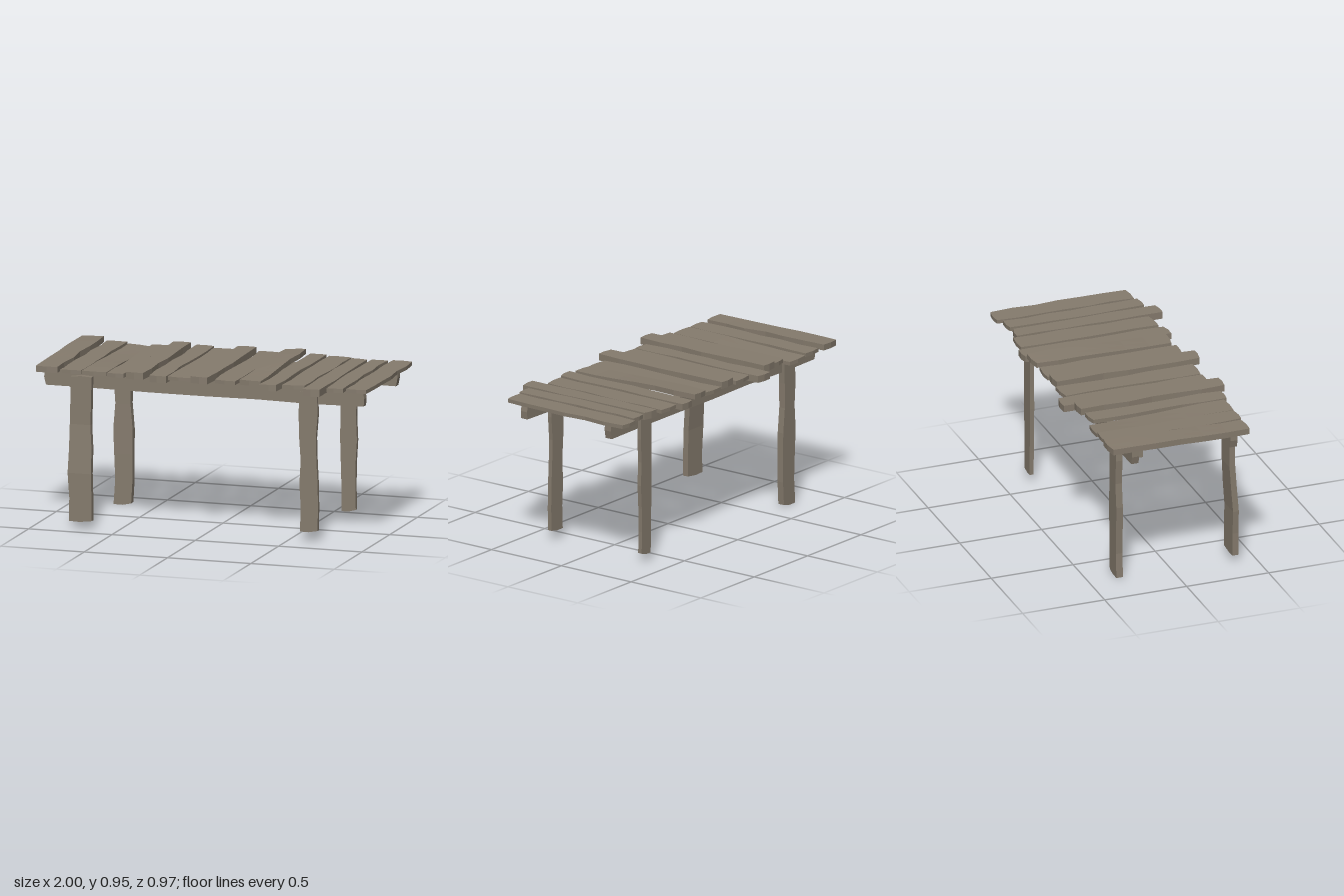
import * as THREE from 'three';

const wood = new THREE.MeshStandardMaterial({ color: 0x857b6d, flatShading: true });
wood.name = 'weatheredWood';

// Small seeded generator, returns values in -1..1
function seeded(seed) {
  let s = seed * 7919 + 17;
  return () => {
    s = (s * 16807) % 2147483647;
    return (s / 2147483647) * 2 - 1;
  };
}

// Rough-sawn board lying along z: wavy long edges, uneven ends, optional bend(t) in thickness
function board(name, width, thick, length, seed, wave = 0.008, bend = () => 0) {
  const rnd = seeded(seed);
  for (let i = 0; i < 5; i++) rnd();
  const SEG = 6;
  const edges = [0, 1].map(() => Array.from({ length: SEG + 1 }, () => rnd() * wave));
  const skew = [rnd() * 0.007, rnd() * 0.007];
  const geo = new THREE.BoxGeometry(width, thick, length, 2, 1, SEG);
  const p = geo.attributes.position;
  for (let i = 0; i < p.count; i++) {
    const x = p.getX(i), y = p.getY(i), z = p.getZ(i);
    const t = z / length + 0.5;
    const k = Math.round(t * SEG);
    const u = x / (width / 2);
    if (Math.abs(u) > 0.5) p.setX(i, x + edges[u > 0 ? 1 : 0][k] - Math.sign(u) * wave * 0.5);
    p.setY(i, y + bend(t, u));
    if (k === 0) p.setZ(i, z + skew[0] * u + 0.006 * Math.abs(u));
    if (k === SEG) p.setZ(i, z + skew[1] * u - 0.006 * Math.abs(u));
  }
  geo.computeVertexNormals();
  const mesh = new THREE.Mesh(geo, wood);
  mesh.name = name;
  return mesh;
}

export function createModel() {
  const model = new THREE.Group();
  model.name = 'plankTable';

  // Table top: x from, x to, z from, z to, bottom, top, lift of the back end
  const planks = [
    [-1.0, -0.86, -0.455, 0.39, 0.895, 0.93, 0.012],
    [-0.845, -0.72, -0.44, 0.4, 0.9, 0.922, 0],
    [-0.715, -0.57, -0.44, 0.4, 0.9, 0.922, -0.018],
    [-0.56, -0.45, -0.41, 0.42, 0.9, 0.924, 0],
    [-0.44, -0.325, -0.435, 0.455, 0.905, 0.945, 0],
    [-0.32, -0.21, -0.49, 0.4, 0.882, 0.922, 0],
    [-0.2, -0.065, -0.44, 0.4, 0.9, 0.922, 0],
    [-0.05, 0.065, -0.435, 0.455, 0.905, 0.945, 0],
    [0.075, 0.21, -0.44, 0.4, 0.9, 0.922, 0],
    [0.215, 0.355, -0.455, 0.39, 0.9, 0.93, 0.02],
    [0.36, 0.47, -0.465, 0.43, 0.885, 0.922, 0],
    [0.485, 0.625, -0.44, 0.4, 0.9, 0.922, 0],
    [0.63, 0.74, -0.405, 0.485, 0.882, 0.924, 0],
    [0.75, 0.855, -0.41, 0.42, 0.9, 0.924, 0],
    [0.87, 1.0, -0.44, 0.4, 0.9, 0.922, 0],
  ];
  const top = new THREE.Group();
  top.name = 'tableTop';
  planks.forEach(([x0, x1, z0, z1, y0, y1, lift], i) => {
    const warp = (t, u) => lift * Math.sin(Math.max(0, 0.75 - t) * 2.6) * (0.8 + 0.2 * u);
    const plank = board(`plank${i + 1}`, x1 - x0, y1 - y0, z1 - z0, i + 3, 0.008, warp);
    plank.position.set((x0 + x1) / 2, (y0 + y1) / 2, (z0 + z1) / 2);
    top.add(plank);
  });
  model.add(top);

  // Two long rails under the planks, standing on edge
  [['frontRail', 0.302, 31], ['backRail', -0.298, 37]].forEach(([name, z, seed]) => {
    const rail = board(name, 0.097, 0.044, 1.92, seed, 0.004);
    rail.rotation.set(0, Math.PI / 2, Math.PI / 2, 'YXZ');
    rail.position.set(-0.005, 0.854, z);
    model.add(rail);
  });

  // Legs: x from, x to, z from, z to, bottom, outward bow
  const legs = [
    ['frontRightLeg', -0.8, -0.66, 0.34, 0.375, 0.04, 0.02],
    ['frontLeftLeg', 0.57, 0.68, 0.315, 0.34, 0.06, 0],
    ['backRightLeg', -0.755, -0.645, -0.337, -0.297, 0.003, 0.003],
    ['backLeftLeg', 0.595, 0.7, -0.34, -0.315, 0.05, 0],
  ];
  legs.forEach(([name, x0, x1, z0, z1, y0, bow], i) => {
    const height = 0.885 - y0;
    // t runs from the top of the leg to its foot
    const bend = (t) => -bow * THREE.MathUtils.smoothstep(t, 0.3, 0.7);
    const leg = board(name, x1 - x0, z1 - z0, height, i + 51, 0.008, bend);
    leg.rotation.x = Math.PI / 2;
    leg.rotation.z = 0;
    // Flip so that the bow points outward and t grows downward
    leg.position.set((x0 + x1) / 2, y0 + height / 2, (z0 + z1) / 2);
    leg.geometry.rotateZ(Math.PI);
    model.add(leg);
  });

  return model;
}
